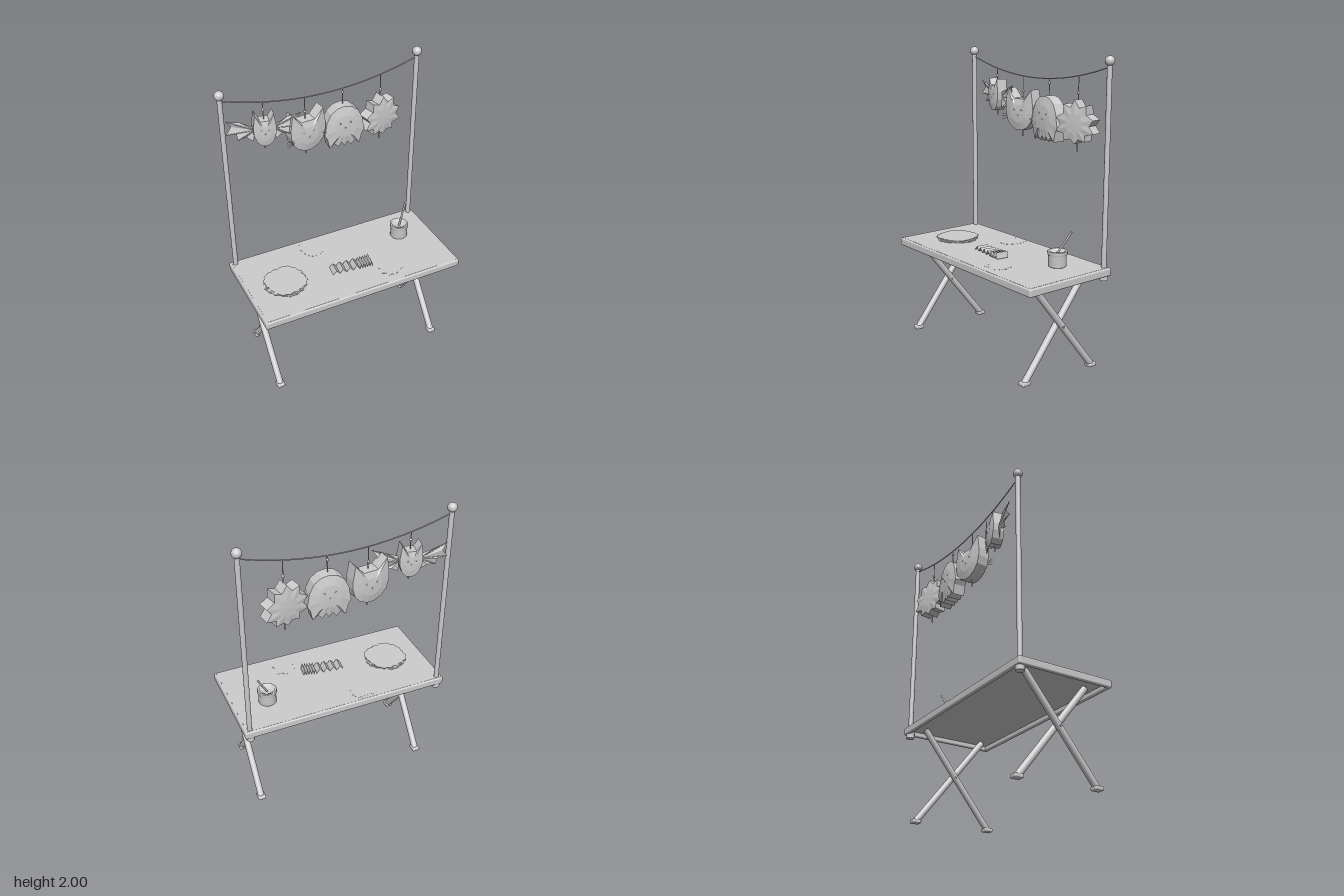
import * as THREE from 'three';
import { RoundedBoxGeometry } from 'three/addons/geometries/RoundedBoxGeometry.js';

const V = (x, y, z) => new THREE.Vector3(x, y, z);

export function createModel() {
  const root = new THREE.Group();
  const clay = new THREE.MeshStandardMaterial({ color: 0xcccccc });
  clay.name = 'light grey';
  clay.side = THREE.DoubleSide;

  const add = (name, geo, x = 0, y = 0, z = 0, parent = root) => {
    const m = new THREE.Mesh(geo, clay);
    m.name = name;
    m.position.set(x, y, z);
    parent.add(m);
    return m;
  };
  // Round bar between two points
  const rod = (name, a, b, r, parent = root, sides = 16) => {
    const d = b.clone().sub(a);
    const m = add(name, new THREE.CylinderGeometry(r, r, d.length(), sides), 0, 0, 0, parent);
    m.position.copy(a).add(b).multiplyScalar(0.5);
    m.quaternion.setFromUnitVectors(V(0, 1, 0), d.normalize());
    return m;
  };
  const geometryFrom = (pos) => {
    const g = new THREE.BufferGeometry();
    g.setAttribute('position', new THREE.Float32BufferAttribute(pos, 3));
    g.computeVertexNormals();
    return g;
  };

  // Table top with rounded rails
  add('tablePanel', new THREE.BoxGeometry(1.40, 0.022, 0.65), 0, 0.668, 0.016);
  for (const z of [-0.307, 0.34])
    add('longRail', new RoundedBoxGeometry(1.43, 0.052, 0.028, 3, 0.01), 0, 0.652, z);
  for (const x of [-0.702, 0.702])
    add('endRail', new RoundedBoxGeometry(0.027, 0.052, 0.674, 3, 0.01), x, 0.652, 0.016);

  // Crossed folding legs with feet and pivots
  for (const x of [-0.598, 0.598]) {
    const bars = [[x - 0.022, 0.275, -0.225], [x + 0.022, -0.25, 0.25]];
    for (const [lx, zFoot, zTop] of bars) {
      rod('leg', V(lx, 0.015, zFoot), V(lx, 0.645, zTop), 0.022);
      add('foot', new RoundedBoxGeometry(0.054, 0.026, 0.062, 2, 0.008), lx, 0.013, zFoot);
    }
    rod('legPivot', V(x - 0.05, 0.34, 0.013), V(x + 0.05, 0.34, 0.013), 0.007);
  }

  // Posts with ball finials and collars under the table
  for (const x of [-0.677, 0.677]) {
    rod('post', V(x, 0.61, -0.29), V(x, 1.96, -0.29), 0.0165);
    add('finial', new THREE.SphereGeometry(0.031, 24, 16), x, 1.969, -0.29);
    add('postCollar', new THREE.CylinderGeometry(0.028, 0.028, 0.04, 20), x, 0.617, -0.29);
  }

  // Sagging garland string
  const sagY = (x) => 1.823 + 0.105 * (x / 0.665) ** 2;
  const sag = [];
  for (let i = 0; i <= 12; i++) {
    const x = -0.665 + (1.33 * i) / 12;
    sag.push(V(x, sagY(x), -0.29));
  }
  add('garlandString', new THREE.TubeGeometry(new THREE.CatmullRomCurve3(sag), 48, 0.004, 6));

  // Half outline (hundredths, top to bottom) mirrored into a counter-clockwise loop
  const mirrorLoop = (half) => {
    const left = half.map(([x, y]) => [-x / 100, y / 100]);
    const right = half.filter(([x]) => x > 0).reverse().map(([x, y]) => [x / 100, y / 100]);
    return [...left, ...right];
  };
  // Faceted paper lantern: straight rim, faces swelling toward the centre
  const lantern = (loop, rim, depth) => {
    const mid = rim + (depth - rim) * 0.75;
    const rings = [[0, -depth], [0.55, -mid], [1, -rim], [1, rim], [0.55, mid], [0, depth]];
    const p = (j, i) => {
      const [x, y] = loop[i % loop.length];
      return [x * rings[j][0], y * rings[j][0], rings[j][1]];
    };
    const pos = [];
    for (let j = 0; j < 5; j++)
      for (let i = 0; i < loop.length; i++) {
        const [a, b, c, d] = [p(j, i), p(j, i + 1), p(j + 1, i + 1), p(j + 1, i)];
        if (j < 4) pos.push(...a, ...c, ...d);
        if (j > 0) pos.push(...a, ...b, ...c);
      }
    return geometryFrom(pos);
  };

  const ghostHalf = [[0, 13.5], [5, 12.5], [9.5, 9], [12.3, 3], [13.8, -6], [12, -9],
    [10.5, -15.8], [7.3, -12.8], [4.5, -15.8], [2, -13], [0, -15.8]];
  const leafHalf = [[0, 15], [3.5, 10], [8.5, 11.8], [8.8, 6], [14, 3], [11, -1],
    [14.3, -5.5], [8, -7], [8, -11], [3, -10], [0, -13]];
  const lanterns = [
    { name: 'bat', x: -0.407, y: 1.671, turn: -0.2, rim: 0.037, depth: 0.048, bead: 1.81, tail: 0.135, face: 0.45,
      half: [[0, 7.5], [3, 7.5], [6, 12], [7.3, 3], [7, -2], [5.2, -7], [2.3, -9.7], [0, -10]] },
    { name: 'cat', x: -0.127, y: 1.582, turn: 0.1, rim: 0.04, depth: 0.056, bead: 1.725, tail: 0.165, face: 0.7,
      half: [[0, 9.5], [5, 9.5], [11, 16], [12.6, 6], [12.5, 0], [11, -5.5], [7.5, -9.5], [3, -11.7], [0, -12]] },
    { name: 'ghost', x: 0.138, y: 1.582, turn: -0.08, rim: 0.04, depth: 0.058, bead: 1.80, tail: 0, face: 0.7, half: ghostHalf },
    { name: 'leaf', x: 0.413, y: 1.566, turn: 0.2, rim: 0.04, depth: 0.05, bead: 1.757, tail: 0.18, face: 0, half: leafHalf },
  ];
  for (const l of lanterns) {
    const g = new THREE.Group();
    g.name = l.name + 'Lantern';
    g.position.set(l.x, l.y, -0.29);
    g.rotation.y = l.turn;
    root.add(g);
    add(l.name + 'Body', lantern(mirrorLoop(l.half), l.rim, l.depth), 0, 0, 0, g);
    // Hanger, bead and bottom stem
    rod('hanger', V(0, l.half[0][1] / 100 - 0.01, 0), V(0, sagY(l.x) - l.y, 0), 0.003, g, 6);
    add('hangerBead', new THREE.SphereGeometry(0.009, 10, 8), 0, l.bead - l.y, 0, g);
    if (l.tail) rod('stem', V(0, -l.tail, 0), V(0, -0.08, 0), 0.005, g, 8);
    // Small face on both sides
    if (l.face) for (const s of [-1, 1]) {
      for (const e of [-1, 1])
        add('eye', new THREE.SphereGeometry(0.007, 8, 6), e * 0.05 * l.face, 0.03 * l.face, s * (l.depth - 0.006), g);
      add('mouth', new THREE.SphereGeometry(0.005, 8, 6), 0, -0.02 * l.face, s * (l.depth - 0.003), g);
    }
    // Pleated wings with ribs
    if (l.name === 'bat') for (const s of [-1, 1]) {
      const tips = [[7, 3], [15, 6.5], [23.5, 9], [20.5, 4.5], [24, -0.5], [17.5, -1], [17, -5.5], [11.5, -4.5], [7.3, -7.5]]
        .map(([x, y], i) => V((s * x) / 100, y / 100, i % 2 ? -0.006 : 0.006));
      const hub = V(s * 0.06, 0, 0);
      const pos = [];
      for (let i = 0; i + 1 < tips.length; i++) {
        const [a, b] = s > 0 ? [tips[i + 1], tips[i]] : [tips[i], tips[i + 1]];
        pos.push(...hub.toArray(), ...a.toArray(), ...b.toArray());
      }
      add('wing', geometryFrom(pos), 0, 0, 0, g);
      for (const i of [2, 4, 6]) rod('wingRib', hub, tips[i], 0.003, g, 6);
    }
    // Whiskers
    if (l.name === 'cat') for (const s of [-1, 1]) for (const k of [-1, 0, 1])
      rod('whisker', V(s * 0.10, -0.03 + k * 0.008, 0.042), V(s * 0.16, -0.035 + k * 0.02, 0.045), 0.0015, g, 5);
  }

  // Flat paper sheet lying on the table
  const sheet = (name, loop, x, y, z, turn) => {
    const geo = new THREE.ExtrudeGeometry(new THREE.Shape(loop.map(([a, b]) => new THREE.Vector2(a, b))),
      { depth: 0.003, bevelEnabled: false });
    geo.rotateX(-Math.PI / 2);
    add(name, geo, x, y, z).rotation.y = turn;
  };
  // Stack of scalloped sheets
  const scallop = [];
  for (let i = 0; i < 36; i++) {
    const a = (i / 36) * Math.PI * 2, r = (i % 2 ? 0.135 : 0.143) + 0.008 * Math.cos(4 * a);
    scallop.push([r * Math.cos(a), r * Math.sin(a)]);
  }
  for (let i = 0; i < 4; i++) sheet('paperSheet', scallop, -0.452 + 0.003 * (i % 2), 0.679 + i * 0.005, 0.04, i * 0.35);
  // Loose cut-outs
  sheet('ghostCutout', mirrorLoop(ghostHalf.map(([x, y]) => [x * 0.58, y * 0.6])), -0.143, 0.677, -0.2, Math.PI);
  sheet('leafCutout', mirrorLoop(leafHalf.map(([x, y]) => [x * 0.6, y * 0.6])), 0.25, 0.677, 0.22, 0.5);

  // Folded paper strip, pleats tightening to the right
  const fold = [];
  let fx = -0.14;
  for (let i = 0; i < 19; i++) {
    fold.push([fx, i % 2 ? 0.03 + 0.02 * (i / 18) : 0.003 + 0.004 * (i / 18)]);
    fx += i < 8 ? 0.024 : 0.0092;
  }
  const strip = [];
  for (let i = 0; i + 1 < fold.length; i++) {
    const [[x0, y0], [x1, y1]] = [fold[i], fold[i + 1]];
    const w = 0.043;
    strip.push(x0, y0, w, x1, y1, w, x1, y1, -w, x0, y0, w, x1, y1, -w, x0, y0, -w);
  }
  add('foldedStrip', geometryFrom(strip), 0.01, 0.68, 0.094).rotation.y = -0.12;

  // Paste pot with brush
  const pot = [[0, 0], [0.054, 0], [0.059, 0.006], [0.059, 0.078], [0.064, 0.08], [0.065, 0.1],
    [0.062, 0.104], [0.05, 0.104], [0.048, 0.085], [0, 0.085]];
  add('pastePot', new THREE.LatheGeometry(pot.map(([r, y]) => new THREE.Vector2(r, y)), 32), 0.477, 0.679, -0.075);
  rod('brushHandle', V(0.467, 0.745, -0.067), V(0.552, 0.912, -0.125), 0.0065);

  return root;
}
